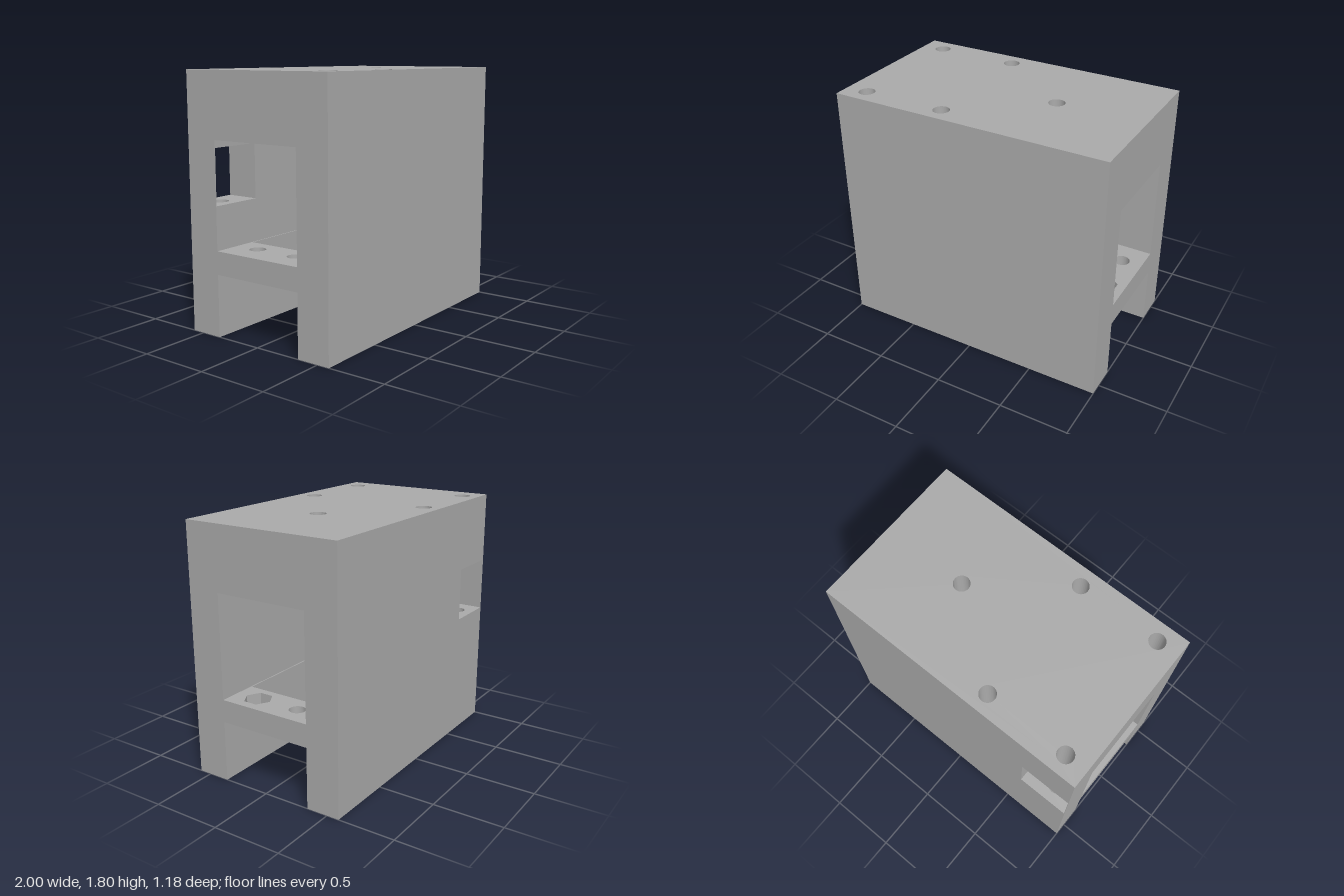
import * as THREE from 'three';
import { toCreasedNormals } from 'three/addons/utils/BufferGeometryUtils.js';

const Z = 0.59;    // outer half depth
const ZI = 0.345;  // inner half width of tunnel and slot
const R = 0.057;   // bolt hole radius

// Closed paths on the ground plane, drawn in (x, -z)
function rect(PathType, x0, x1, z0, z1) {
  const p = new PathType();
  p.moveTo(x0, -z1);
  p.lineTo(x1, -z1);
  p.lineTo(x1, -z0);
  p.lineTo(x0, -z0);
  p.closePath();
  return p;
}

function roundHole(x, z) {
  return new THREE.Path().absarc(x, -z, R, 0, Math.PI * 2, true);
}

function hexHole(x, z, r) {
  const pts = [];
  for (let i = 0; i < 6; i++) {
    const a = Math.PI / 2 - i * Math.PI / 3;
    pts.push(new THREE.Vector2(x + r * Math.cos(a), -z + r * Math.sin(a)));
  }
  return new THREE.Path(pts);
}

export function createModel() {
  const model = new THREE.Group();
  model.name = 'mountingBlock';
  const grey = new THREE.MeshStandardMaterial({ color: 0xaaaaaa });
  grey.name = 'grey';

  // Horizontal slab from y0 to y1, pierced by holes
  function slab(name, y0, y1, x0, x1, z0, z1, holes) {
    const shape = rect(THREE.Shape, x0, x1, z0, z1);
    shape.holes.push(...holes);
    const geo = new THREE.ExtrudeGeometry(shape, { depth: y1 - y0, bevelEnabled: false, curveSegments: 32 });
    geo.rotateX(-Math.PI / 2);
    geo.translate(0, y0, 0);
    const mesh = new THREE.Mesh(toCreasedNormals(geo, 0.6), grey);
    mesh.name = name;
    model.add(mesh);
  }

  const xA = -0.838, xB = -0.237, zBolt = 0.467;
  const bolts = (z) => [roundHole(xA, z), roundHole(xB, z)];

  // Top block with five bolt holes
  slab('topBlock', 1.345, 1.8, -1, 1, -Z, Z,
    [...bolts(zBolt), ...bolts(-zBolt), roundHole(0.365, 0)]);

  // Front wall
  slab('frontWall', 0, 1.345, -1, 1, ZI, Z, bolts(zBolt));

  // Back wall, interrupted by a window at its end
  slab('backWallLower', 0, 0.905, -1, 1, -Z, -ZI, bolts(-zBolt));
  slab('backWallMiddle', 0.905, 1.293, -0.618, 1, -Z, -ZI, [roundHole(xB, -zBolt)]);
  slab('backWallUpper', 1.293, 1.345, -1, 1, -Z, -ZI, bolts(-zBolt));
  // Thin skin closing the end of the window
  slab('windowEndSkin', 0.905, 1.293, -1, -0.996, -Z, -ZI, []);

  // Floor between the walls: large opening, screw holes and one nut pocket
  const zs = 0.165, xr = 0.85, xl = -0.8;
  const floorHoles = () => [
    rect(THREE.Path, -0.665, 0.712, -0.337, 0.337),
    roundHole(xr, -zs), roundHole(xl, zs), roundHole(xl, -zs),
  ];
  slab('floorLower', 0.437, 0.52, -1, 1, -ZI, ZI, [...floorHoles(), roundHole(xr, zs)]);
  slab('floorUpper', 0.52, 0.6, -1, 1, -ZI, ZI, [...floorHoles(), hexHole(xr, zs, 0.1)]);

  return model;
}
